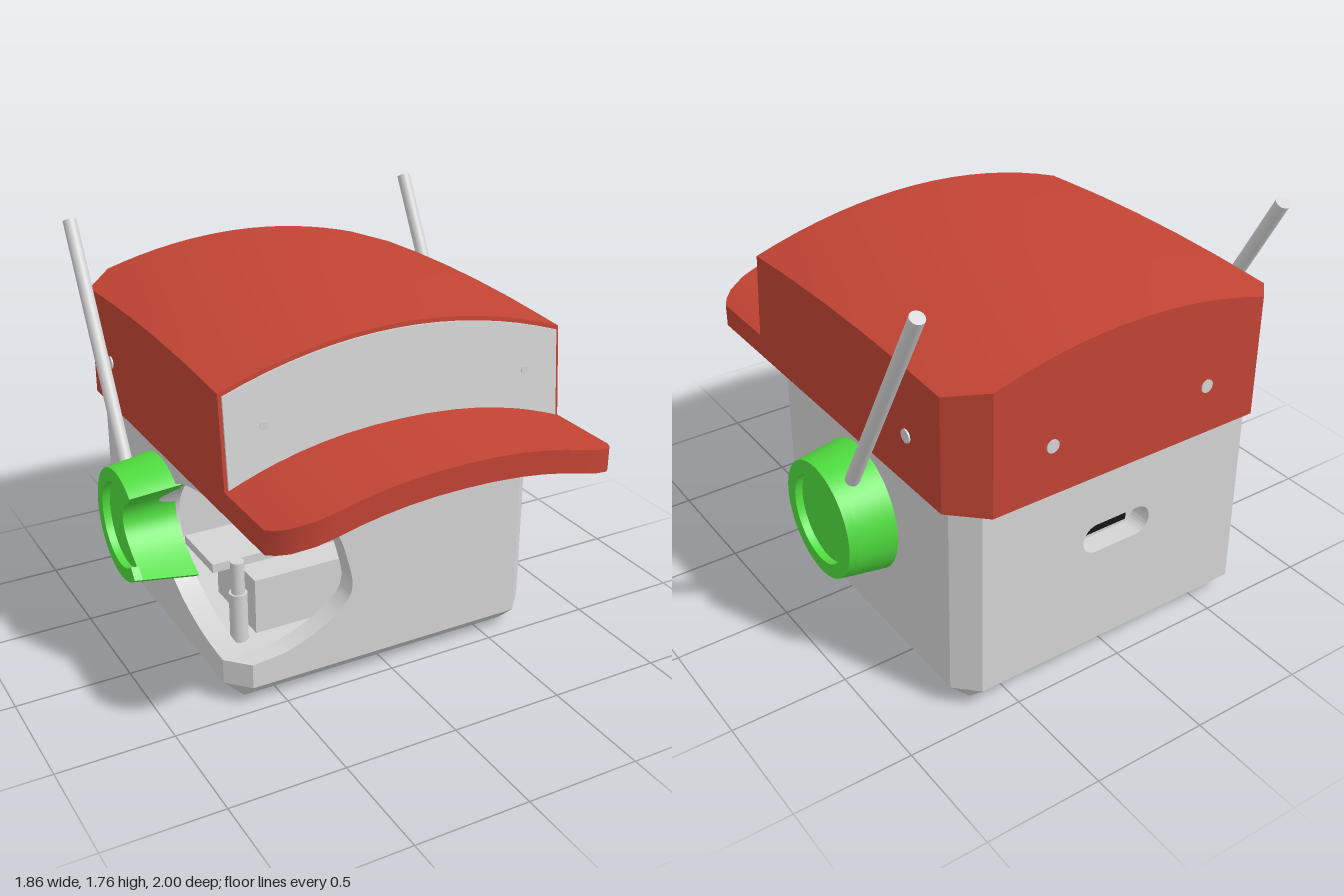
import * as THREE from 'three';
import { toCreasedNormals } from 'three/addons/utils/BufferGeometryUtils.js';
import { ConvexGeometry } from 'three/addons/geometries/ConvexGeometry.js';

const paint = (name, color) => {
  const m = new THREE.MeshStandardMaterial({ color });
  m.name = name;
  return m;
};
const V2 = (x, y) => new THREE.Vector2(x, y);
const poly = (pts) => new THREE.Shape(pts.map(([x, y]) => V2(x, y)));
const extrude = (shape, depth) =>
  new THREE.ExtrudeGeometry(shape, { depth, bevelEnabled: false, curveSegments: 32 });

// Skin over equal loops; each loop is a bottom row followed by the reversed top row.
function loft(sections) {
  const n = sections[0].length, pos = sections.flat(2), idx = [];
  for (let s = 0; s < sections.length - 1; s++)
    for (let i = 0; i < n; i++) {
      const a = s * n + i, b = s * n + (i + 1) % n;
      idx.push(a, b, b + n, a, b + n, a + n);
    }
  const last = (sections.length - 1) * n;
  for (let i = 0; i < n / 2 - 1; i++) {
    const a = i, b = i + 1, c = n - 2 - i, d = n - 1 - i;
    idx.push(a, c, b, a, d, c, last + a, last + b, last + c, last + a, last + c, last + d);
  }
  // Turn the faces outward when the enclosed volume is negative
  const v = (i) => new THREE.Vector3().fromArray(pos, i * 3);
  let vol = 0;
  for (let i = 0; i < idx.length; i += 3) vol += v(idx[i]).dot(v(idx[i + 1]).cross(v(idx[i + 2])));
  if (vol < 0) idx.reverse();
  const g = new THREE.BufferGeometry();
  g.setAttribute('position', new THREE.Float32BufferAttribute(pos, 3));
  g.setIndex(idx);
  return toCreasedNormals(g, 0.4);
}

// Curves shared by the cap parts
const drop = (x) => 0.14 * Math.pow(Math.abs(x) / 0.765, 2.2);
const roofY = (x, z) => 1.59 - 0.055 * (z + 0.22) ** 2 - 0.138 * (x / 0.765) ** 2;
const frontZ = (y) => 0.535 - 0.09 * (y - 1.04);

export function createModel() {
  const red = paint('cap red', 0xc24434);
  const grey = paint('light grey', 0xd4d4d4);
  const green = paint('ear green', 0x4fdc3e);
  const black = paint('port black', 0x141414);
  const model = new THREE.Group();
  model.name = 'model';
  const add = (name, geo, mat, x = 0, y = 0, z = 0) => {
    const m = new THREE.Mesh(geo, mat);
    m.name = name;
    m.position.set(x, y, z);
    model.add(m);
    return m;
  };
  const box = (name, mat, x0, x1, y0, y1, z0, z1) =>
    add(name, new THREE.BoxGeometry(x1 - x0, y1 - y0, z1 - z0), mat,
      (x0 + x1) / 2, (y0 + y1) / 2, (z0 + z1) / 2);

  // Chamfered base
  const base = [];
  for (const sx of [-1, 1])
    for (const [zi, zo] of [[0.375, 0.47], [-0.86, -0.95]])
      base.push(new THREE.Vector3(sx * 0.64, 0, zi), new THREE.Vector3(sx * 0.73, 0.09, zi),
        new THREE.Vector3(sx * 0.64, 0.09, zo));
  add('base', new ConvexGeometry(base), grey);

  // Front wall with a curved opening at one corner
  const front = new THREE.Shape();
  front.moveTo(-0.64, 0.09);
  front.lineTo(0.64, 0.09);
  front.lineTo(0.64, 1.1);
  front.lineTo(-0.64, 1.1);
  front.lineTo(-0.64, 0.9);
  front.splineThru([[-0.5, 0.885], [-0.35, 0.81], [-0.25, 0.7], [-0.2, 0.56], [-0.18, 0.44],
    [-0.22, 0.36], [-0.33, 0.28], [-0.48, 0.22], [-0.64, 0.2]].map(([x, y]) => V2(x, y)));
  add('frontWall', toCreasedNormals(extrude(front, 0.095), 0.5), grey, 0, 0, 0.375);

  // Back wall with a rounded port slot
  const back = poly([[-0.64, 0.09], [0.64, 0.09], [0.64, 1.0], [-0.64, 1.0]]);
  const slot = new THREE.Path();
  slot.absarc(0.1, 0.6, 0.065, -Math.PI / 2, Math.PI / 2);
  slot.absarc(-0.1, 0.6, 0.065, Math.PI / 2, Math.PI * 1.5);
  back.holes.push(slot);
  add('backWall', toCreasedNormals(extrude(back, 0.09), 0.5), grey, 0, 0, -0.95);
  box('portHousing', grey, -0.2, 0.2, 0.51, 0.69, -0.86, -0.7);
  box('port', black, -0.1, 0.1, 0.572, 0.628, -0.885, -0.85);

  // Side walls; the right one has its front cut away
  box('leftWall', grey, 0.64, 0.73, 0.09, 1.0, -0.86, 0.375);
  const side = new THREE.Shape();
  side.moveTo(0.375, 0.2);
  side.lineTo(0.375, 0.09);
  side.lineTo(-0.86, 0.09);
  side.lineTo(-0.86, 1.0);
  side.lineTo(0.375, 1.0);
  side.lineTo(0.375, 0.9);
  side.absellipse(0.375, 0.55, 0.65, 0.35, Math.PI / 2, Math.PI * 1.5, false);
  add('rightWall', toCreasedNormals(extrude(side, 0.1).rotateY(-Math.PI / 2), 0.5), grey, -0.63);

  // Chamfered corner posts
  const corner = (sx, zi, zo, y0, y1) => add('cornerPost',
    extrude(poly([[sx * 0.64, -zi], [sx * 0.73, -zi], [sx * 0.64, -zo]]), y1 - y0)
      .rotateX(-Math.PI / 2), grey, 0, y0);
  corner(1, 0.375, 0.47, 0.09, 1.0);
  corner(1, -0.86, -0.95, 0.09, 1.0);
  corner(-1, -0.86, -0.95, 0.09, 1.0);
  corner(-1, 0.375, 0.47, 0.09, 0.2);
  corner(-1, 0.375, 0.47, 0.9, 1.0);

  // Inner fittings seen through the opening
  box('innerShelf', grey, -0.6, 0.3, 0.38, 0.42, -0.3, 0.0);
  box('innerBlock', grey, -0.45, 0.3, 0.09, 0.35, -0.3, 0.1);
  box('innerBoard', black, -0.235, 0.1, 0.43, 0.7, -0.4, -0.34);
  add('innerPost', new THREE.CylinderGeometry(0.03, 0.03, 0.38, 20), grey, -0.53, 0.28, 0.1);
  add('innerPostFoot', new THREE.CylinderGeometry(0.04, 0.04, 0.23, 20), grey, -0.53, 0.205, 0.1);

  // Cap shell: cross-sections from back to front
  const steps = Array.from({ length: 17 }, (_, i) => i / 8 - 1);
  const capSection = (z, w, arched, slanted) => {
    const at = (x, y) => [x, y, slanted ? frontZ(y) : z];
    const low = steps.map((t) => at(t * w, arched ? 1.08 - drop(t * w) : 0.94));
    const high = steps.map((t) => at(t * w, roofY(t * w, z))).reverse();
    return [...low, ...high];
  };
  add('cap', loft([
    capSection(-1, 0.63), capSection(-0.87, 0.765),
    ...[-0.6, -0.35, -0.1, 0.15, 0.4].map((z) => capSection(z, 0.765)),
    capSection(0.41, 0.765, true), capSection(0.49, 0.765, true, true),
  ]), red);

  // Arched brim with rounded corners
  const half = [[0.765, 0.87], [0.74, 0.91], [0.7, 0.95], [0.62, 0.988], [0.55, 1.0],
    [0.45, 1.0], [0.35, 1.0], [0.25, 1.0], [0.12, 1.0]];
  const brim = [...half.map(([x, z]) => [-x, z]), [0, 1.0], ...[...half].reverse()];
  add('brim', loft(brim.map(([x, z]) => {
    const lo = 1.08 - drop(x), hi = 1.18 - drop(x);
    return [[x, lo, 0.48], [x, lo, z], [x, hi, z], [x, hi, 0.48]];
  })), red);

  // Slanted front plate of the cap
  const plate = extrude(poly([
    ...steps.map((t) => [t * 0.75, 1.16 - drop(t * 0.75)]),
    ...steps.map((t) => [t * 0.75, roofY(t * 0.75, 0.49) - 0.018]).reverse(),
  ]), 0.008);
  const p = plate.attributes.position;
  for (let i = 0; i < p.count; i++) p.setZ(i, p.getZ(i) + frontZ(p.getY(i)));
  plate.computeVertexNormals();
  add('capFrontPlate', plate, grey);

  // Small pins on the cap's sides, back and front
  const pin = (x, y, z, axis, r) => {
    const m = add('pin', new THREE.CylinderGeometry(r, r, 0.024, 20), grey, x, y, z);
    if (axis === 'x') m.rotation.z = Math.PI / 2;
    else m.rotation.x = Math.PI / 2;
  };
  for (const s of [-1, 1]) {
    pin(s * 0.76, 1.155, -0.645, 'x', 0.028);
    pin(s * 0.37, 1.155, -0.992, 'z', 0.028);
    pin(s * 0.59, 1.27, 0.514, 'z', 0.018);
  }

  // Round ears: tapered body and raised rim; the right one is cut open at the front
  const ear = (s) => {
    const cut = s < 0, a = cut ? 0.87 : 0;
    const radius = (d) => 0.292 - 0.15 * d;
    const disc = new THREE.Shape();
    disc.absarc(0, 0, 1, a, Math.PI * 2 - a);
    if (cut) disc.quadraticCurveTo(-0.95, 0, Math.cos(a), Math.sin(a));
    const ring = new THREE.Shape();
    ring.absarc(0, 0, 1, a, Math.PI * 2 - a);
    if (cut) ring.absarc(0, 0, 0.76, Math.PI * 2 - a, a, true);
    else ring.holes.push(new THREE.Path().absarc(0, 0, 0.76, 0, Math.PI * 2));
    for (const [name, shape, d0, d1] of [['earBody', disc, 0, 0.245], ['earRim', ring, 0.245, 0.28]]) {
      const g = extrude(shape, d1 - d0), q = g.attributes.position;
      for (let i = 0; i < q.count; i++) {
        const d = q.getZ(i) + d0, r = radius(d);
        q.setXYZ(i, q.getX(i) * r, q.getY(i) * r, d);
      }
      add(name, toCreasedNormals(g.rotateY(s * Math.PI / 2), 0.5), green, s * 0.65, 0.595, -0.22);
    }
  };
  ear(1);
  ear(-1);

  // Antennas leaning backward
  const from = new THREE.Vector3(0, 0.67, -0.265), to = new THREE.Vector3(0, 1.75, -0.855);
  const dir = to.clone().sub(from), mid = from.clone().add(to).multiplyScalar(0.5);
  for (const s of [-1, 1]) {
    const rod = add('antenna', new THREE.CylinderGeometry(0.03, 0.03, dir.length(), 24), grey,
      s * 0.835, mid.y, mid.z);
    rod.quaternion.setFromUnitVectors(new THREE.Vector3(0, 1, 0), dir.clone().normalize());
  }
  return model;
}
